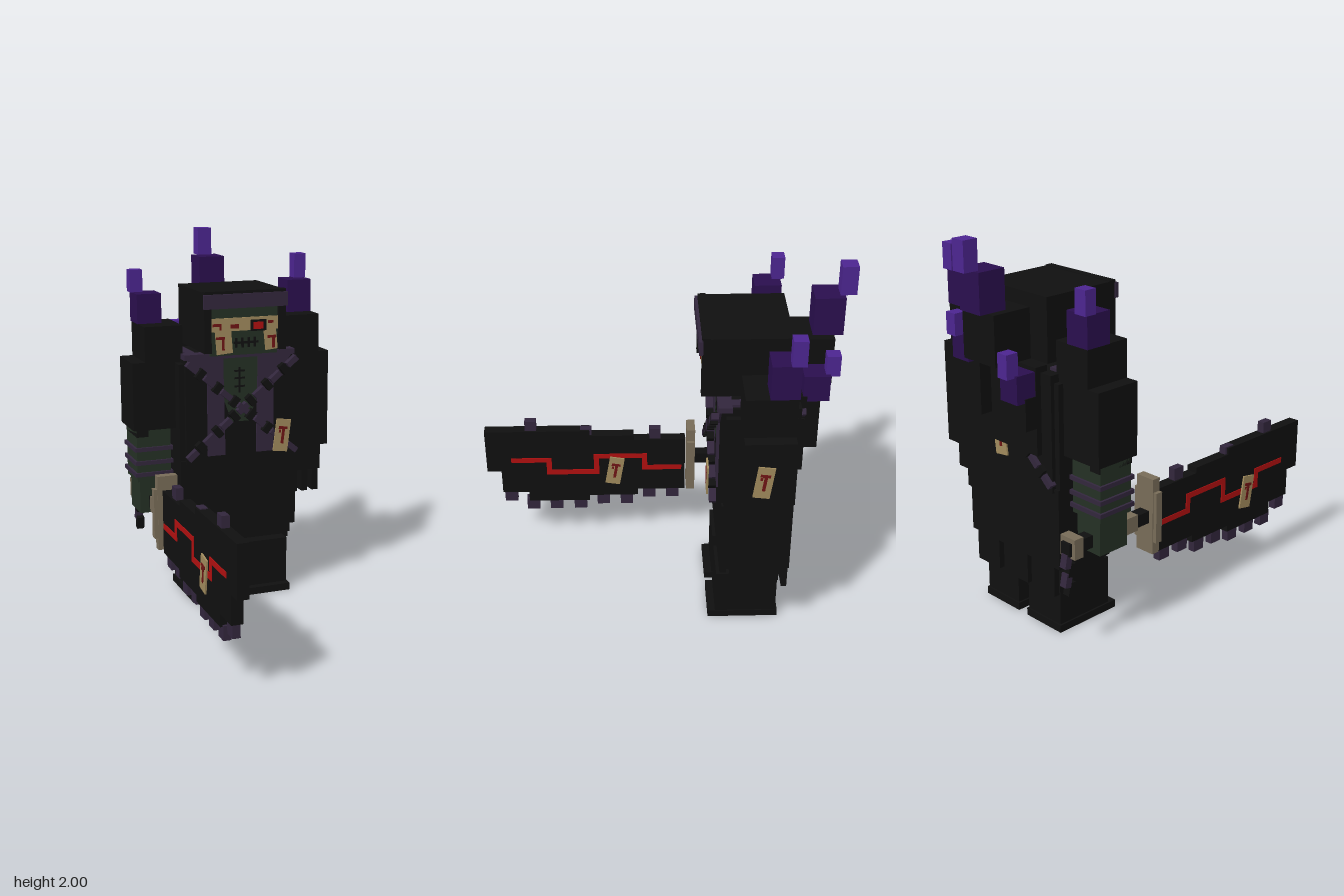
import * as THREE from 'three';

const mat = (name, color) => Object.assign(new THREE.MeshStandardMaterial({ color }), { name });
const black = mat('black cloth', 0x101010);
const plum = mat('plum trim', 0x32263c);
const crystalDark = mat('dark crystal', 0x2a0f4e);
const crystalLight = mat('light crystal', 0x4c2590);
const green = mat('green skin', 0x243024);
const paper = mat('paper', 0xa08a5c);
const bone = mat('bone', 0x786c58);
const darkRed = mat('dark red ink', 0x6e1414);
const red = mat('glowing red', 0xb01010);

// Box given by its limits on each axis
function box(parent, name, m, x0, x1, y0, y1, z0, z1) {
  const mesh = new THREE.Mesh(new THREE.BoxGeometry(x1 - x0, y1 - y0, Math.abs(z1 - z0)), m);
  mesh.position.set((x0 + x1) / 2, (y0 + y1) / 2, (z0 + z1) / 2);
  mesh.name = name;
  parent.add(mesh);
  return mesh;
}

function part(parent, name) {
  const g = new THREE.Group();
  g.name = name;
  parent.add(g);
  return g;
}

// Flat outline extruded by depth
function plate(parent, name, m, pts, depth, z) {
  const shape = new THREE.Shape(pts.map(p => new THREE.Vector2(p[0], p[1])));
  const mesh = new THREE.Mesh(new THREE.ExtrudeGeometry(shape, { depth, bevelEnabled: false }), m);
  mesh.position.z = z;
  mesh.name = name;
  parent.add(mesh);
  return mesh;
}

// Paper charm with an ink mark, facing local +z
function charm(parent, x, y, z, turn, tilt) {
  const g = part(parent, 'paperCharm');
  box(g, 'paperSheet', paper, -0.042, 0.042, -0.09, 0.09, -0.005, 0.004);
  box(g, 'inkStem', darkRed, -0.004, 0.012, -0.045, 0.045, 0.003, 0.007);
  box(g, 'inkBar', darkRed, -0.025, 0.025, 0.035, 0.05, 0.003, 0.007);
  box(g, 'inkDot', darkRed, -0.022, -0.01, 0.015, 0.03, 0.003, 0.007);
  g.position.set(x, y, z);
  g.rotation.set(0, turn, tilt);
}

// Chain of alternating links between two points in a plane of constant z
function chain(parent, ax, ay, bx, by, z) {
  const g = part(parent, 'chain');
  const angle = Math.atan2(by - ay, bx - ax), n = 13;
  for (let i = 0; i < n; i++) {
    const t = (i + 0.5) / n, x = ax + (bx - ax) * t, y = ay + (by - ay) * t;
    const w = i % 2 ? 0.018 : 0.034, h = i % 2 ? 0.03 : 0.016;
    const link = box(g, 'chainLink', i % 2 ? black : plum, x - w, x + w, y - h, y + h, z - 0.018, z + 0.018);
    link.rotation.z = angle;
  }
}

function crystal(parent, base, tip) {
  const g = part(parent, 'crystal');
  box(g, 'crystalBase', crystalDark, ...base);
  box(g, 'crystalTip', crystalLight, ...tip);
}

function buildBody(root) {
  const g = part(root, 'robe');
  box(g, 'torso', black, -0.31, 0.3, 0.78, 1.37, -0.70, -0.31);
  box(g, 'torsoSides', black, -0.34, 0.33, 0.8, 1.33, -0.68, -0.33);
  box(g, 'upperSkirt', black, -0.34, 0.33, 0.38, 0.8, -0.69, -0.32);
  box(g, 'lowerSkirtRight', black, -0.33, -0.05, 0.26, 0.4, -0.64, -0.38);
  box(g, 'lowerSkirtLeft', black, 0, 0.31, 0.28, 0.4, -0.64, -0.38);
  box(g, 'frontHem', black, -0.31, 0.3, 0.33, 0.4, -0.36, -0.325);
  for (const x of [-0.3, -0.1, 0.12]) box(g, 'backHem', black, x, x + 0.17, 0.22, 0.42, -0.69, -0.66);
  // Collar, lapels and bare chest
  box(g, 'collarFront', plum, -0.32, 0.31, 1.355, 1.385, -0.36, -0.29);
  for (const x of [-0.29, 0.23]) box(g, 'collarSide', plum, x, x + 0.05, 1.355, 1.385, -0.64, -0.3);
  for (const s of [-1, 1]) {
    const pts = [[0.3, 1.36], [0.1, 1.36], [0.09, 0.82], [0.19, 0.82], [0.19, 1.22]];
    const p = s > 0 ? pts : pts.map(([x, y]) => [-x, y]).reverse();
    plate(g, 'lapel', plum, p, 0.015, -0.315);
  }
  plate(g, 'chest', green, [[-0.1, 1.36], [-0.1, 1.14], [-0.05, 1.0], [0.05, 1.0], [0.1, 1.14], [0.1, 1.36]], 0.008, -0.315);
  box(g, 'chestScar', black, -0.01, 0, 1.16, 1.3, -0.31, -0.303);
  for (const y of [1.19, 1.235, 1.275]) box(g, 'chestStitch', black, -0.035, 0.025, y, y + 0.01, -0.31, -0.303);
  chain(g, -0.31, 1.34, 0.31, 0.82, -0.275);
  chain(g, 0.31, 1.34, -0.31, 0.82, -0.275);
  chain(g, 0.28, 1.34, -0.31, 0.82, -0.705);
  charm(g, 0.22, 0.915, -0.25, 0, -0.13);
  charm(g, 0.06, 0.97, -0.708, Math.PI, 0.13);
  // Legs
  for (const x of [-0.165, 0.155]) {
    const leg = part(root, 'leg');
    box(leg, 'shin', black, x - 0.12, x + 0.12, 0.02, 0.3, -0.64, -0.31);
    box(leg, 'sole', black, x - 0.13, x + 0.125, 0, 0.04, -0.65, -0.27);
  }
}

function buildHead(root) {
  const g = part(root, 'head');
  box(g, 'hood', black, -0.235, 0.225, 1.4, 1.72, -0.65, -0.245);
  box(g, 'hoodSideRight', black, -0.235, -0.195, 1.4, 1.66, -0.25, -0.21);
  box(g, 'hoodSideLeft', black, 0.185, 0.225, 1.4, 1.66, -0.25, -0.21);
  box(g, 'hoodTop', black, -0.235, 0.225, 1.64, 1.725, -0.25, -0.21);
  box(g, 'brim', plum, -0.24, 0.23, 1.635, 1.71, -0.215, -0.195);
  box(g, 'face', green, -0.195, 0.185, 1.38, 1.64, -0.25, -0.235);
  box(g, 'faceBand', paper, -0.195, 0.185, 1.51, 1.58, -0.237, -0.228);
  box(g, 'faceFlapRight', paper, -0.165, -0.075, 1.39, 1.52, -0.237, -0.229).rotation.z = 0.08;
  box(g, 'faceFlapLeft', paper, 0.11, 0.18, 1.4, 1.52, -0.237, -0.229).rotation.z = 0.1;
  box(g, 'eyeSocket', black, 0.03, 0.12, 1.505, 1.565, -0.23, -0.224);
  box(g, 'eye', red, 0.045, 0.1, 1.515, 1.553, -0.226, -0.22);
  const ink = [[-0.16, 1.545, 0.05, 0.015], [-0.14, 1.535, 0.012, 0.035], [-0.06, 1.535, 0.045, 0.022], [-0.14, 1.475, 0.05, 0.014],
    [-0.125, 1.44, 0.014, 0.06], [0.145, 1.55, 0.03, 0.014], [0.15, 1.47, 0.045, 0.014], [0.16, 1.44, 0.014, 0.06]];
  for (const [x, y, w, h] of ink) box(g, 'faceInk', darkRed, x - w / 2, x + w / 2, y - h / 2, y + h / 2, -0.23, -0.224);
  box(g, 'mouth', black, -0.065, 0.075, 1.44, 1.452, -0.236, -0.229);
  for (const x of [-0.05, -0.015, 0.02, 0.055]) box(g, 'mouthStitch', black, x - 0.006, x + 0.006, 1.42, 1.472, -0.236, -0.229);
}

function buildBack(root) {
  // Stepped humps carrying crystals
  const g = part(root, 'backGrowths');
  box(g, 'upperBack', black, -0.24, 0.24, 0.96, 1.4, -0.73, -0.66);
  box(g, 'centreHump', black, -0.115, 0.115, 1.4, 1.65, -0.865, -0.64);
  box(g, 'leftHump', black, 0.09, 0.24, 1.1, 1.37, -0.795, -0.68);
  box(g, 'rightHump', black, -0.24, -0.09, 1.1, 1.26, -0.795, -0.68);
  crystal(g, [-0.073, 0.073, 1.65, 1.85, -0.91, -0.76], [-0.04, 0.04, 1.85, 2, -0.965, -0.885]);
  crystal(g, [0.115, 0.235, 1.37, 1.51, -0.84, -0.71], [0.15, 0.215, 1.5, 1.61, -0.886, -0.817]);
  crystal(g, [-0.235, -0.115, 1.24, 1.38, -0.84, -0.71], [-0.22, -0.155, 1.37, 1.49, -0.885, -0.817]);
}

function buildArms(root) {
  const l = part(root, 'leftArm');
  box(l, 'shoulder', black, 0.275, 0.5, 1.09, 1.55, -0.65, -0.4);
  box(l, 'sleeve', black, 0.33, 0.56, 0.8, 1.34, -0.65, -0.4);
  box(l, 'hand', black, 0.36, 0.53, 0.65, 0.81, -0.61, -0.43);
  for (const x of [0.36, 0.425, 0.49]) box(l, 'finger', black, x, x + 0.037, 0.52, 0.66, -0.56, -0.45);
  crystal(l, [0.36, 0.5, 1.55, 1.73, -0.655, -0.515], [0.437, 0.505, 1.73, 1.865, -0.675, -0.605]);
  charm(l, 0.563, 1.12, -0.5, Math.PI / 2, -0.13);

  const r = part(root, 'rightArm');
  box(r, 'shoulder', black, -0.505, -0.295, 1.09, 1.53, -0.65, -0.4);
  box(r, 'sleeve', black, -0.575, -0.34, 0.97, 1.34, -0.65, -0.4);
  box(r, 'forearm', green, -0.555, -0.365, 0.68, 0.98, -0.62, -0.42);
  for (const y of [0.85, 0.775, 0.71]) box(r, 'wrap', plum, -0.567, -0.355, y, y + 0.022, -0.632, -0.408);
  box(r, 'sleeveTatter', black, -0.555, -0.49, 0.93, 0.98, -0.625, -0.415);
  box(r, 'fist', green, -0.54, -0.385, 0.5, 0.69, -0.61, -0.43);
  crystal(r, [-0.51, -0.375, 1.53, 1.69, -0.655, -0.515], [-0.52, -0.45, 1.69, 1.81, -0.675, -0.61]);
}

function buildSword(root) {
  const g = part(root, 'sword');
  const cx = -0.46;
  // Blade side profile as [z, y], extruded across x
  const outline = [[-0.17, 0.35], [0.1, 0.35], [0.1, 0.31], [0.38, 0.31], [0.38, 0.275], [0.73, 0.275], [0.73, 0.34], [0.88, 0.34], [0.88, 0.49],
    [0.96, 0.49], [0.96, 0.76], [0.37, 0.76], [0.37, 0.725], [0.12, 0.725], [0.12, 0.695], [-0.17, 0.695]];
  const blade = plate(g, 'blade', black, outline.map(([z, y]) => [-z, y]).reverse(), 0.06, 0);
  blade.rotation.y = Math.PI / 2;
  blade.position.set(cx - 0.03, 0, 0);
  // Teeth under the blade and knobs on top
  const teeth = [[0.835, 0.27], [0.71, 0.21], [0.575, 0.21], [0.435, 0.21], [0.3, 0.24], [0.165, 0.24], [0.035, 0.285], [-0.1, 0.285]];
  for (const [z, y] of teeth) box(g, 'tooth', plum, cx - 0.02, cx + 0.02, y, y + 0.075, z - 0.036, z + 0.036);
  for (const [z, y] of [[0.7, 0.82], [0.39, 0.765], [0, 0.76]]) box(g, 'spineKnob', plum, cx - 0.02, cx + 0.02, y - 0.07, y, z - 0.032, z + 0.032);
  // Zigzag red line on both faces
  const line = [[0.59, 0.82, 0.55, 0.58], [0.59, 0.62, 0.465, 0.58], [0.32, 0.62, 0.465, 0.497], [0.32, 0.35, 0.465, 0.6],
    [0.045, 0.35, 0.572, 0.602], [0.045, 0.075, 0.49, 0.602], [-0.15, 0.075, 0.49, 0.52]];
  for (const s of [-1, 1]) {
    const x = cx + s * 0.031;
    for (const [z0, z1, y0, y1] of line) box(g, 'redLine', red, x - 0.003, x + 0.003, y0, y1, z0, z1);
  }
  charm(g, cx + 0.039, 0.49, 0.23, Math.PI / 2, -0.17);
  charm(g, cx - 0.039, 0.47, 0.52, -Math.PI / 2, -0.17);
  // Guard, grip and pommel
  box(g, 'guard', bone, cx - 0.075, cx + 0.075, 0.43, 0.7, -0.22, -0.18);
  box(g, 'guardSpine', bone, cx - 0.055, cx + 0.055, 0.365, 0.77, -0.225, -0.178);
  box(g, 'grip', black, cx - 0.03, cx + 0.03, 0.53, 0.595, -0.76, -0.2);
  box(g, 'gripRing', bone, cx - 0.037, cx + 0.037, 0.52, 0.605, -0.39, -0.31);
  box(g, 'pommel', bone, cx - 0.05, cx + 0.05, 0.515, 0.62, -0.745, -0.69);
  // Hanging links
  for (let i = 0; i < 4; i++) {
    const y = 0.5 - i * 0.05, z = -0.755 + (i % 2) * 0.02;
    box(g, 'tasselLink', i % 2 ? black : plum, cx - 0.02, cx + 0.02, y - 0.035, y + 0.035, z - 0.018, z + 0.018).rotation.x = 0.2;
  }
}

export function createModel() {
  const root = new THREE.Group();
  root.name = 'hoodedSwordsman';
  buildBody(root);
  buildHead(root);
  buildBack(root);
  buildArms(root);
  buildSword(root);
  return root;
}
